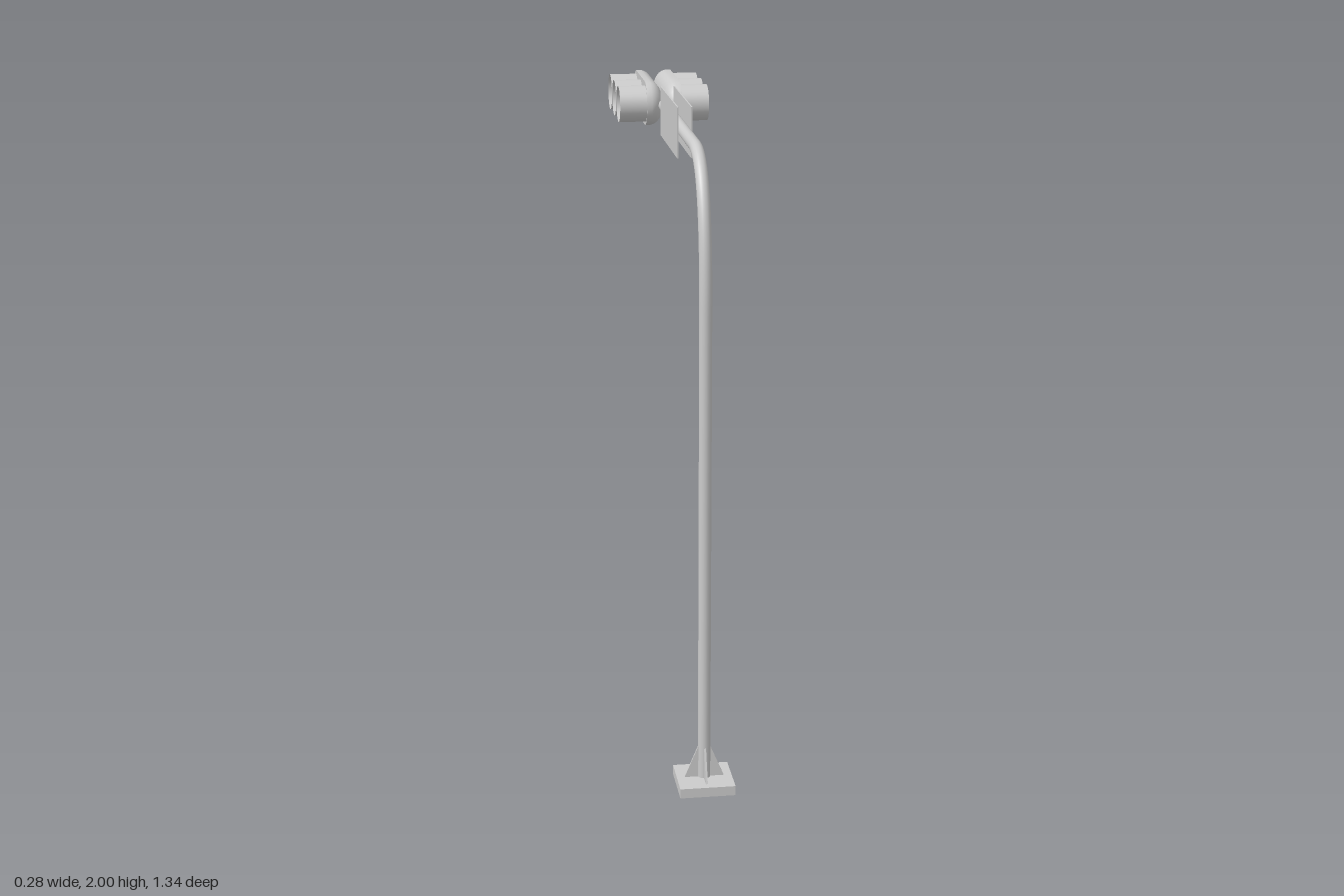
import * as THREE from 'three';

const grey = new THREE.MeshStandardMaterial({ color: 0xcccccc });
const greyDouble = new THREE.MeshStandardMaterial({ color: 0xcccccc, side: THREE.DoubleSide });

const POLE_Z = 0.587, ARM_Y = 1.925, POLE_R = 0.019;
const HEAD_Z = -0.493, HEAD_R = 0.07, HEAD_DEPTH = 0.056, LAMP_STEP = 0.122, VISOR_R = 0.057;

function add(parent, name, geometry, x = 0, y = 0, z = 0, material = grey) {
  const mesh = new THREE.Mesh(geometry, material);
  mesh.name = name;
  mesh.position.set(x, y, z);
  parent.add(mesh);
  return mesh;
}

// Lathe split in half along z and stretched into a stadium outline, axis turned to +x
function stadiumLathe(profile, stretch) {
  const n = 32;
  const points = profile.map(([h, r]) => new THREE.Vector2(r, h));
  const geo = new THREE.LatheGeometry(points, n, Math.PI / n);
  const pos = geo.attributes.position;
  for (let i = 0; i < pos.count; i++) {
    pos.setZ(i, pos.getZ(i) + Math.sign(pos.getZ(i)) * stretch);
  }
  return geo.rotateZ(-Math.PI / 2);
}

// One three-lamp signal head facing +x
function signalHead() {
  const head = new THREE.Group();
  head.name = 'signalHead';
  const shell = [[0, 0.0002], [0.001, 0.02], [0.005, 0.037], [0.011, 0.05],
    [0.02, 0.061], [0.03, 0.067], [0.04, HEAD_R], [HEAD_DEPTH, HEAD_R]];
  add(head, 'housing', stadiumLathe(shell, 0.111));
  add(head, 'lampFace', stadiumLathe([[HEAD_DEPTH, HEAD_R], [HEAD_DEPTH, 0.0002]], 0.111));
  for (let i = -1; i <= 1; i++) {
    const tube = new THREE.CylinderGeometry(VISOR_R, VISOR_R, 0.087, 32, 1, true).rotateZ(-Math.PI / 2);
    add(head, 'visor', tube, HEAD_DEPTH + 0.0425, 0, i * LAMP_STEP, greyDouble);
  }
  return head;
}

export function createModel() {
  const model = new THREE.Group();
  model.name = 'trafficLight';

  // Base plate and four gussets
  add(model, 'basePlate', new THREE.BoxGeometry(0.168, 0.03, 0.168), 0, 0.015, POLE_Z);
  const fin = new THREE.Shape([[0.01, 0.03], [0.06, 0.03], [0.019, 0.128], [0.01, 0.128]]
    .map(([x, y]) => new THREE.Vector2(x, y)));
  for (let i = 0; i < 4; i++) {
    const geo = new THREE.ExtrudeGeometry(fin, { depth: 0.006, bevelEnabled: false });
    geo.translate(0, 0, -0.003);
    add(model, 'gusset', geo, 0, 0, POLE_Z).rotation.y = i * Math.PI / 2;
  }

  // Pole bending into the horizontal arm
  const v = (y, z) => new THREE.Vector3(0, y, z);
  const path = new THREE.CurvePath();
  path.add(new THREE.LineCurve3(v(0.02, POLE_Z), v(1.48, POLE_Z)));
  path.add(new THREE.QuadraticBezierCurve3(v(1.48, POLE_Z), v(ARM_Y, POLE_Z), v(ARM_Y, 0.36)));
  path.add(new THREE.LineCurve3(v(ARM_Y, 0.36), v(ARM_Y, HEAD_Z)));
  add(model, 'poleAndArm', new THREE.TubeGeometry(path, 140, POLE_R, 16, false), 0, 0, 0, greyDouble);

  // Sign panels on both sides of the arm
  for (const side of [-1, 1]) {
    add(model, 'signPanel', new THREE.BoxGeometry(0.004, 0.154, 0.394), side * 0.021, 1.923, -0.049);
  }

  // Back-to-back signal heads
  for (const turn of [0, Math.PI]) {
    const head = signalHead();
    head.position.set(0, ARM_Y, HEAD_Z);
    head.rotation.y = turn;
    model.add(head);
  }
  return model;
}
